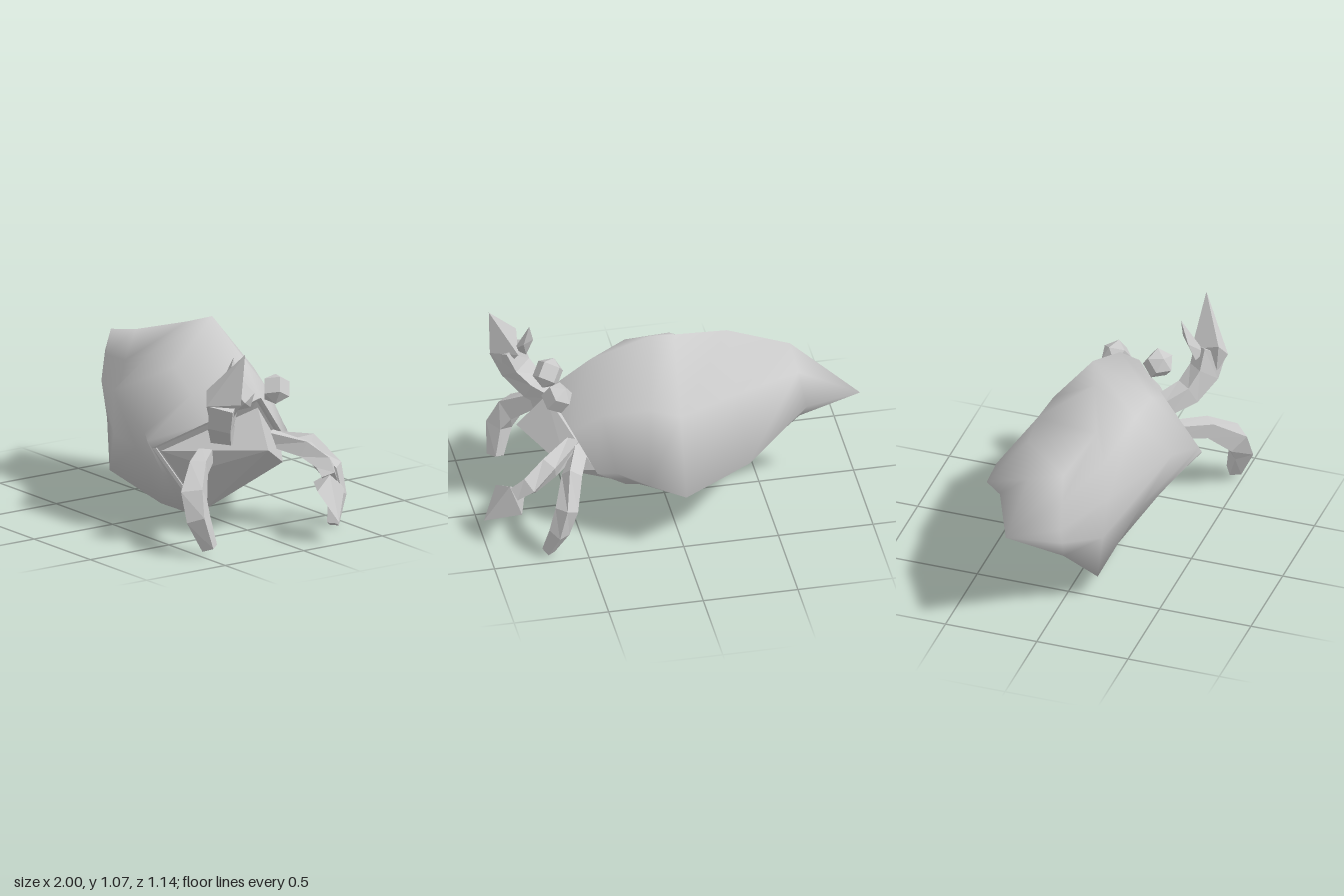
import * as THREE from 'three';
import { mergeVertices } from 'three/addons/utils/BufferGeometryUtils.js';
import { ConvexGeometry } from 'three/addons/geometries/ConvexGeometry.js';

const V = (p) => new THREE.Vector3(...p);
const smooth = new THREE.MeshStandardMaterial({ color: 0xcccccc, side: THREE.DoubleSide });
const faceted = new THREE.MeshStandardMaterial({ color: 0xcccccc, flatShading: true, side: THREE.DoubleSide });

// Skin a list of closed rings; rings turn counterclockwise about the direction of travel
function loft(rings, capStart = false, capEnd = false) {
  const n = rings[0].length, index = [];
  for (let i = 0; i < rings.length - 1; i++) {
    for (let j = 0; j < n; j++) {
      const k = (j + 1) % n, a = i * n + j, b = i * n + k;
      index.push(a, b, a + n, b, b + n, a + n);
    }
  }
  const last = (rings.length - 1) * n;
  for (let j = 1; j < n - 1; j++) {
    if (capStart) index.push(0, j + 1, j);
    if (capEnd) index.push(last, last + j, last + j + 1);
  }
  let geo = new THREE.BufferGeometry().setFromPoints(rings.flat());
  geo.setIndex(index);
  geo = mergeVertices(geo);
  geo.computeVertexNormals();
  return geo;
}

// Four corners (top, left, bottom, right) become an eight-point ring with bulged sides
function diamondRing(corners, bulges) {
  const pts = corners.map(V);
  const centre = pts.reduce((s, p) => s.add(p), new THREE.Vector3()).multiplyScalar(0.25);
  return pts.flatMap((p, i) => {
    const mid = p.clone().lerp(pts[(i + 1) % 4], 0.5);
    return [p, mid.sub(centre).multiplyScalar(bulges[i]).add(centre)];
  });
}

// Four-sided limb along a bent path with one radius per point
function limb(path, radii) {
  const pts = path.map(V);
  const rings = pts.map((p, i) => {
    const t = pts[Math.min(i + 1, pts.length - 1)].clone().sub(pts[Math.max(i - 1, 0)]).normalize();
    const u = new THREE.Vector3(0.8, 0, -0.6).cross(t).normalize();
    const v = t.clone().cross(u);
    return [0, 1, 2, 3].map((k) => {
      const a = (k * Math.PI) / 2 + Math.PI / 4;
      return p.clone().addScaledVector(u, radii[i] * Math.cos(a)).addScaledVector(v, radii[i] * Math.sin(a));
    });
  });
  return loft(rings, true, true);
}

const hull = (points) => new ConvexGeometry(points.map(V));

export function createModel() {
  const model = new THREE.Group();
  model.name = 'hermitCrab';
  const add = (name, geometry, material = faceted) => {
    const mesh = new THREE.Mesh(geometry, material);
    mesh.name = name;
    model.add(mesh);
    return mesh;
  };

  // Shell: diamond cross-sections from the pointed tail to the slanted mouth, each with its side bulges
  const apex = [-1, 0.61, -0.17];
  const sections = [
    [[apex, apex, apex, apex], [1, 1, 1, 1]],
    [[[-0.67, 0.83, 0.03], [-0.74, 0.54, 0.04], [-0.69, 0.35, 0.04], [-0.69, 0.66, -0.31]], [1, 1, 1.1, 1.2]],
    [[[-0.35, 0.91, 0.1], [-0.4, 0.55, 0.18], [-0.5, 0.13, 0.16], [-0.35, 0.48, -0.5]], [1.08, 1, 1.08, 1.42]],
    [[[-0.05, 1.0, -0.01], [-0.09, 0.69, 0.43], [-0.14, 0.02, 0.09], [0, 0.36, -0.57]], [1.03, 1.02, 1.05, 1.17]],
    [[[0.09, 1.05, -0.07], [0.23, 0.54, 0.46], [0.05, 0.02, 0.085], [0.18, 0.4, -0.48]], [1.15, 1.03, 1.05, 1.1]],
    [[[0.4, 0.92, -0.03], [0.26, 0.5, 0.465], [0.12, 0.02, 0.08], [0.33, 0.43, -0.38]], [1.1, 1, 1, 1.08]],
    [[[0.62, 0.74, 0], [0.29, 0.47, 0.455], [0.19, 0.03, 0.08], [0.42, 0.4, -0.32]], [1, 1, 1, 1]],
  ];
  const rings = sections.map(([corners, bulges]) => diamondRing(corners, bulges));
  add('shell', loft(rings), smooth);

  // Shell mouth: a narrow lip, then a shallow closed recess
  const rim = rings[6];
  const centre = rim.reduce((s, p) => s.add(p), new THREE.Vector3()).multiplyScalar(1 / 8);
  const lip = rim.map((p) => p.clone().lerp(centre, 0.05));
  const recess = lip.map((p) => p.clone().lerp(centre, 0.03).add(V([-0.02, 0, -0.005])));
  add('shellMouth', loft([rim, lip, recess], false, true));

  // Body: wedge filling the mouth, with a beak in front
  add('body', hull([
    [0.62, 0.69, 0.02], [0.77, 0.5, 0.06], [0.32, 0.455, 0.42], [0.5, 0.38, 0.24],
    [0.21, 0.055, 0.077], [0.55, 0.35, -0.19], [0.42, 0.39, -0.27], [0.3, 0.4, 0.05],
  ]));

  // Eyes
  for (const side of [1, -1]) {
    const eye = add(side > 0 ? 'leftEye' : 'rightEye', new THREE.SphereGeometry(0.083, 5, 3));
    eye.position.set(0.59, 0.763, side * 0.115);
    eye.rotation.set(0.5 * side, 0.2, 0.5);
  }

  // Walking legs
  add('leftLeg', limb(
    [[0.46, 0.455, 0.22], [0.6, 0.42, 0.38], [0.71, 0.31, 0.49], [0.77, 0.2, 0.505], [0.8, 0.045, 0.455]],
    [0.05, 0.06, 0.08, 0.07, 0.045]));
  add('rightLeg', limb(
    [[0.47, 0.47, -0.15], [0.56, 0.43, -0.35], [0.61, 0.29, -0.46], [0.65, 0.16, -0.465], [0.695, 0.015, -0.405]],
    [0.05, 0.055, 0.06, 0.055, 0.035]));

  // Raised left claw
  add('leftArm', limb(
    [[0.53, 0.55, 0.16], [0.64, 0.59, 0.26], [0.72, 0.68, 0.32], [0.77, 0.8, 0.34]],
    [0.065, 0.075, 0.085, 0.09]));
  add('leftClaw', hull([
    [0.7, 0.86, 0.405], [0.75, 0.79, 0.44], [0.86, 0.8, 0.3], [0.72, 0.8, 0.25], [0.71, 0.69, 0.39], [0.78, 0.7, 0.3],
    [0.87, 1.07, 0.28],
  ]));
  add('leftThumb', hull([
    [0.64, 0.88, 0.26], [0.7, 0.89, 0.21], [0.73, 0.79, 0.32], [0.67, 0.77, 0.29], [0.67, 1.0, 0.21],
  ]));

  // Lowered right claw
  add('rightArm', limb(
    [[0.5, 0.48, -0.14], [0.66, 0.43, -0.26], [0.77, 0.36, -0.3], [0.84, 0.31, -0.28]],
    [0.05, 0.06, 0.06, 0.05]));
  add('rightClaw', hull([
    [0.87, 0.34, -0.26], [0.92, 0.28, -0.145], [0.83, 0.24, -0.38], [0.78, 0.29, -0.22], [0.8, 0.33, -0.31], [1, 0.12, -0.225],
  ]));

  return model;
}
